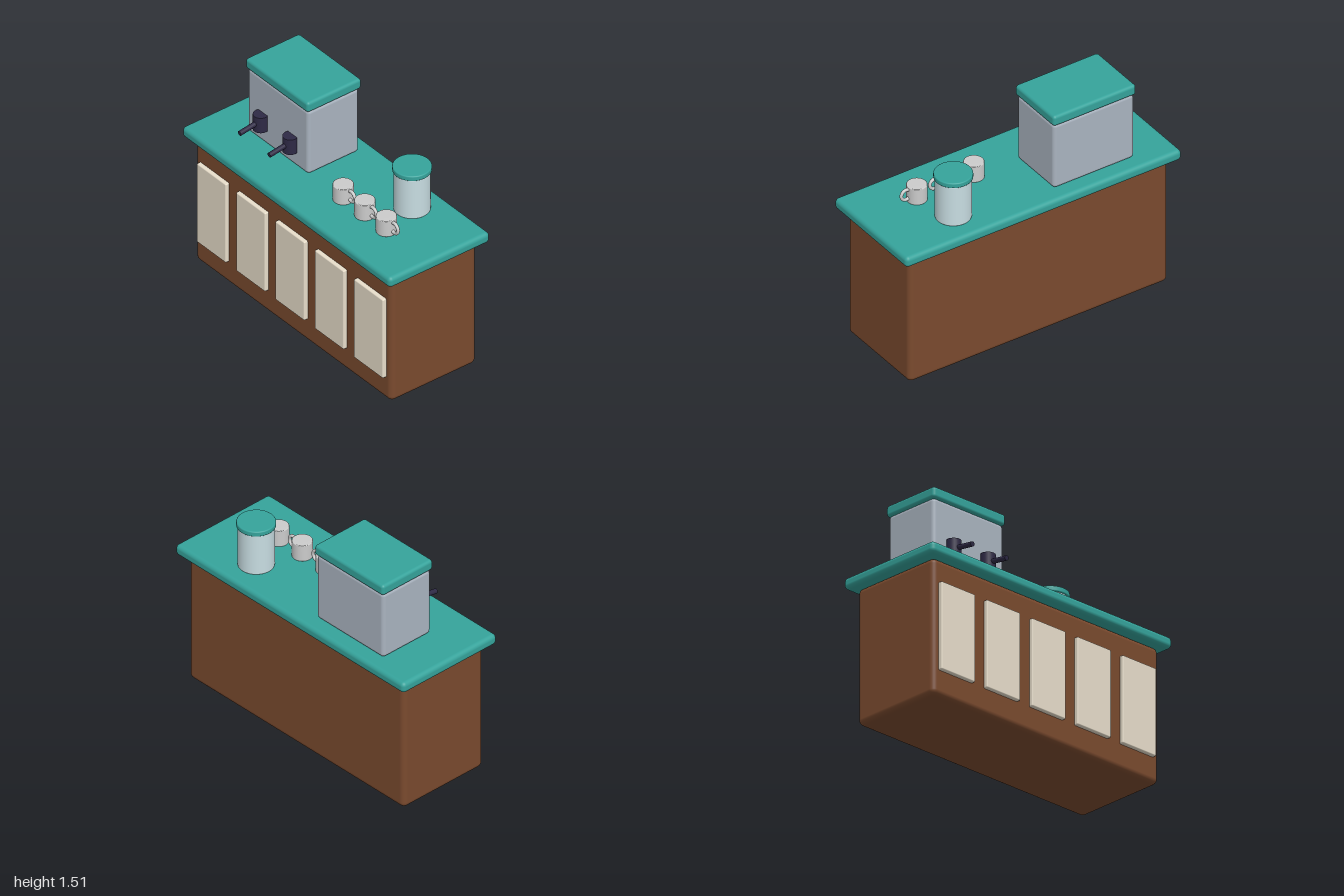
import * as THREE from 'three';
import { RoundedBoxGeometry } from 'three/addons/geometries/RoundedBoxGeometry.js';

const mat = (color) => new THREE.MeshStandardMaterial({ color });

export function createModel() {
  const root = new THREE.Group();
  const teal = mat(0x35a39b), wood = mat(0x7a4a2e), cream = mat(0xe8decb);
  const steel = mat(0xaab4c0), dark = mat(0x2e2945), glass = mat(0xc8dde2), grey = mat(0xcccccc);

  const add = (parent, name, geometry, material, x, y, z) => {
    const mesh = new THREE.Mesh(geometry, material);
    mesh.name = name;
    mesh.position.set(x, y, z);
    parent.add(mesh);
    return mesh;
  };
  const group = (name, x, y, z) => {
    const g = new THREE.Group();
    g.name = name;
    g.position.set(x, y, z);
    root.add(g);
    return g;
  };
  const box = (w, h, d, r) => new RoundedBoxGeometry(w, h, d, 4, r);

  // Solid cylinder standing on its base, with a small rounded rim
  const roundedCylinder = (r, h, b) => {
    const path = new THREE.Path();
    path.moveTo(0, 0).lineTo(r - b, 0);
    path.absarc(r - b, b, b, -Math.PI / 2, 0, false);
    path.absarc(r - b, h - b, b, 0, Math.PI / 2, false);
    path.lineTo(0, h);
    return new THREE.LatheGeometry(path.getPoints(4), 40);
  };

  // Counter
  const topY = 0.973;
  add(root, 'counterBody', box(1.88, 0.9, 0.656, 0.035), wood, 0, 0.45, 0);
  add(root, 'countertop', box(2, 0.075, 0.772, 0.028), teal, 0, 0.936, 0);
  for (let i = -2; i <= 2; i++) {
    add(root, 'frontPanel', box(0.28, 0.58, 0.05, 0.008), cream, i * 0.377, 0.455, 0.33);
  }

  // Coffee machine
  const machine = group('coffeeMachine', -0.428, topY, -0.092);
  add(machine, 'machineBody', box(0.584, 0.467, 0.392, 0.025), steel, 0, 0.2335, 0);
  add(machine, 'machineLid', box(0.6, 0.074, 0.414, 0.02), teal, 0, 0.5, 0);

  // Brew heads with sloping handles
  for (const x of [-0.57, -0.286]) {
    const head = group('brewHead', x, 1.135, 0.122);
    add(head, 'brewCylinder', new THREE.CylinderGeometry(0.048, 0.048, 0.11, 28), dark, 0, 0, 0);
    const handle = add(head, 'brewHandle', new THREE.CylinderGeometry(0.016, 0.016, 0.16, 16), dark, 0, -0.007, 0.083);
    handle.rotation.x = Math.PI / 2 + 0.14;
  }

  // Storage canister
  const canister = group('canister', 0.515, topY, -0.172);
  add(canister, 'canisterBody', roundedCylinder(0.112, 0.287, 0.008), glass, 0, 0, 0);
  add(canister, 'canisterLid', roundedCylinder(0.12, 0.036, 0.008), teal, 0, 0.284, 0);

  // Row of cups
  for (const x of [0.185, 0.392, 0.599]) {
    const cup = group('cup', x, topY, 0.092);
    add(cup, 'cupBody', roundedCylinder(0.064, 0.115, 0.005), grey, 0, 0, 0);
    add(cup, 'cupHandle', new THREE.TorusGeometry(0.035, 0.011, 12, 32), grey, 0.077, 0.064, 0);
  }

  return root;
}
